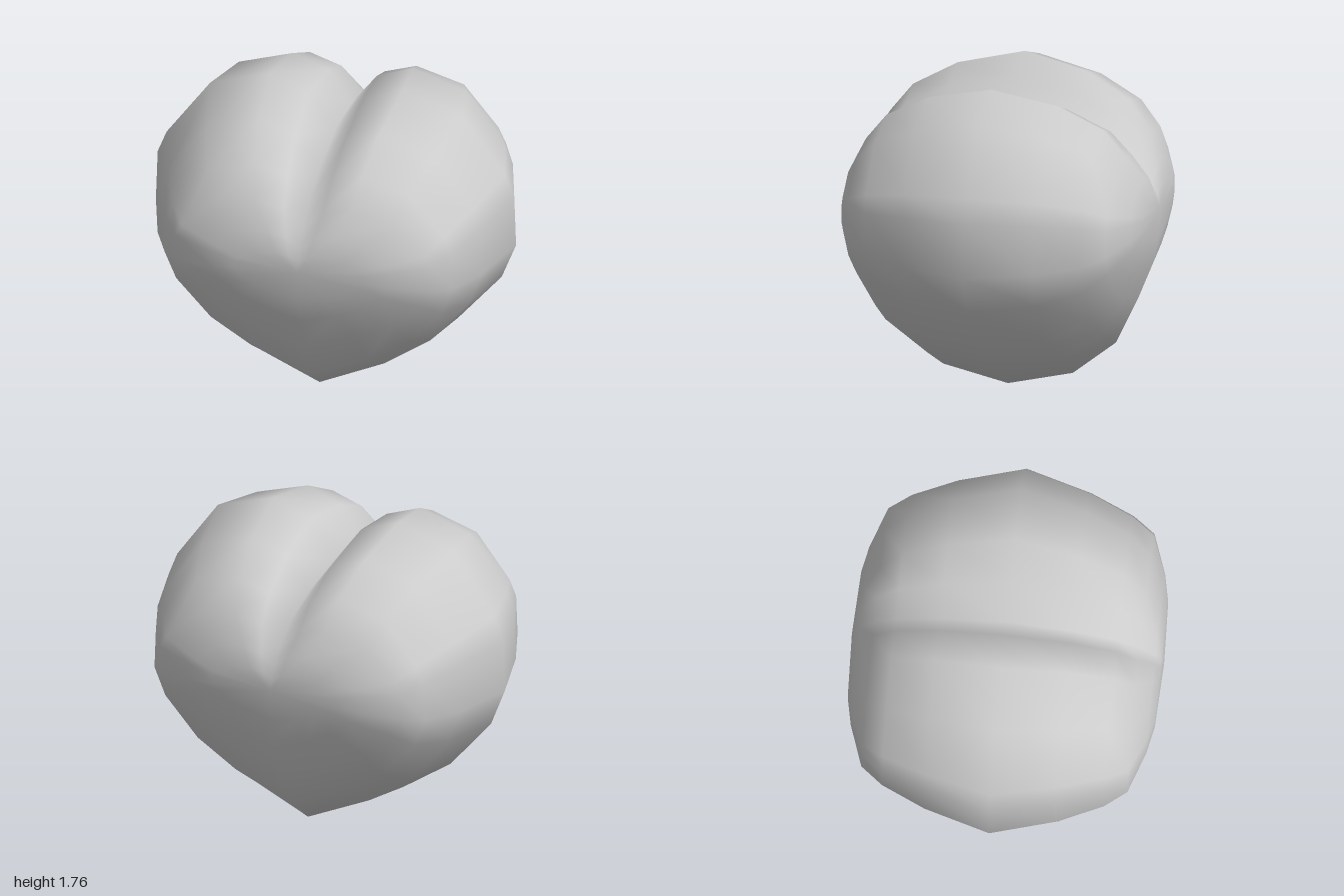
import * as THREE from 'three';

// Right half of the heart outline, from bottom tip to top notch
const HALF = [[0, 0], [0.4, 0.185], [0.68, 0.38], [0.92, 0.67], [1, 0.88], [0.99, 1.18],
  [0.94, 1.31], [0.7, 1.65], [0.37, 1.76], [0.15, 1.675], [0, 1.47]];
const CENTER_Y = 1.05;
const POLE_Z = 0.845;

// Cross-sections from the middle outwards: z, width scale, scale above and below the centre
const LEVELS = [[0, 1, 1, 1], [0.36, 0.9, 0.89, 0.92], [0.6, 0.8, 0.71, 0.74],
  [0.72, 0.72, 0.5, 0.5], [0.8, 0.5, 0.3, 0.31], [0.83, 0.36, 0.15, 0.17]];

function heartGeometry() {
  // Mirror the half outline into a closed, counter-clockwise ring
  const ring = [...HALF, ...HALF.slice(1, -1).reverse().map(([x, y]) => [-x, y])];
  const n = ring.length;
  // Mirror the cross-sections so they run from back to front
  const sections = [
    ...LEVELS.slice(1).reverse().map(([z, ...s]) => [-z, ...s]),
    ...LEVELS,
  ];
  const positions = [];
  for (const [z, sx, up, down] of sections) {
    for (const [x, y] of ring) {
      const dy = y - CENTER_Y;
      positions.push(x * sx, CENTER_Y + dy * (dy > 0 ? up : down), z);
    }
  }
  const back = sections.length * n;
  const front = back + 1;
  positions.push(0, CENTER_Y, -POLE_Z, 0, CENTER_Y, POLE_Z);

  const index = [];
  const last = (sections.length - 1) * n;
  for (let i = 0; i < n; i++) {
    const k = (i + 1) % n;
    for (let j = 0; j < last; j += n) {
      index.push(j + i, j + k, j + n + k, j + i, j + n + k, j + n + i);
    }
    index.push(k, i, back, last + i, last + k, front);
  }
  const geometry = new THREE.BufferGeometry();
  geometry.setAttribute('position', new THREE.Float32BufferAttribute(positions, 3));
  geometry.setIndex(index);
  geometry.computeVertexNormals();
  return geometry;
}

export function createModel() {
  const group = new THREE.Group();
  group.name = 'heart';
  const body = new THREE.Mesh(heartGeometry(), new THREE.MeshStandardMaterial({ color: 0xcccccc }));
  body.name = 'heartBody';
  group.add(body);
  return group;
}
